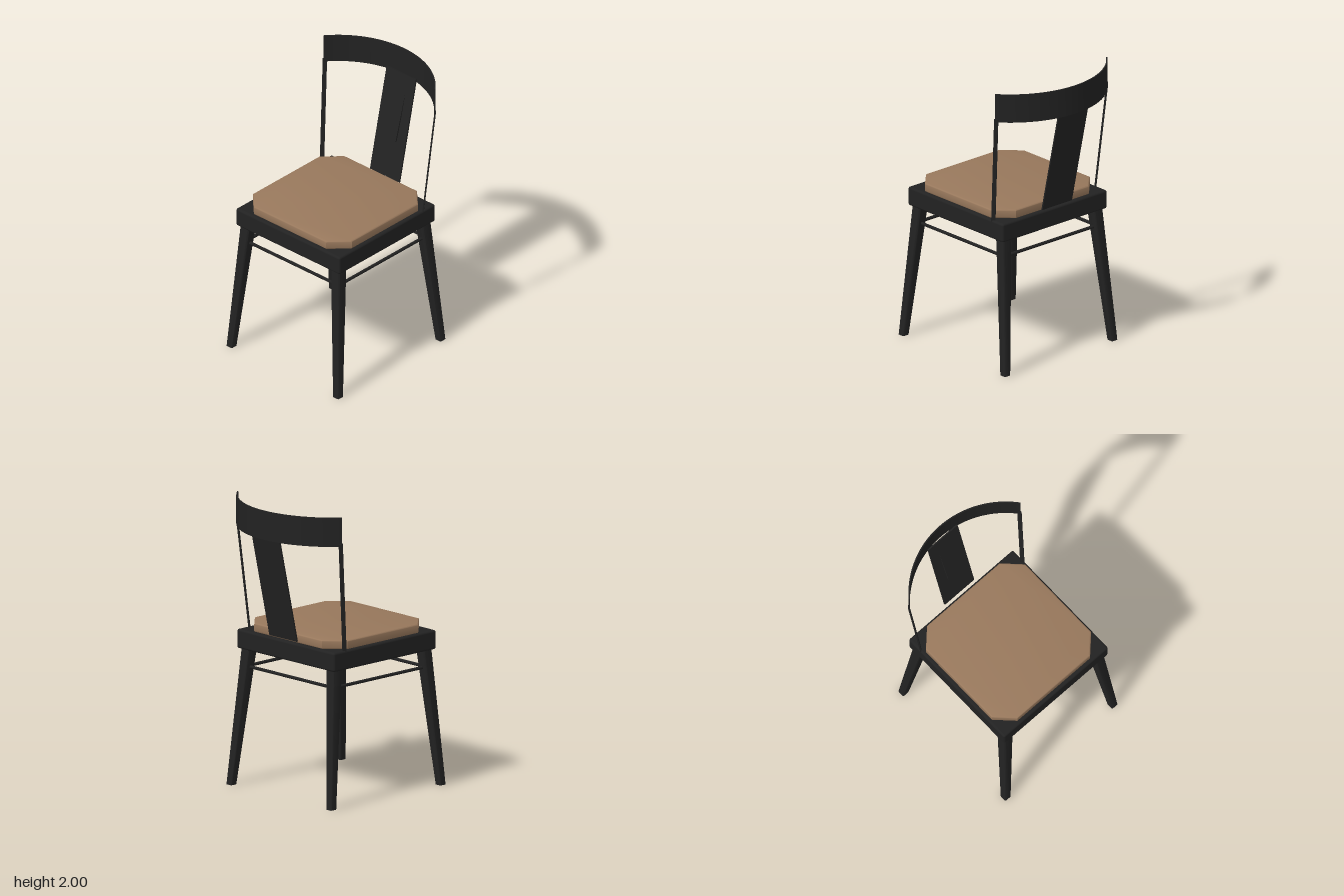
import * as THREE from 'three';
import { toCreasedNormals } from 'three/addons/utils/BufferGeometryUtils.js';
import { RoundedBoxGeometry } from 'three/addons/geometries/RoundedBoxGeometry.js';

const V = (x, y, z) => new THREE.Vector3(x, y, z);
const UP = V(0, 1, 0);

export function createModel() {
  const black = new THREE.MeshStandardMaterial({ color: 0x222222 });
  black.name = 'black frame';
  const tan = new THREE.MeshStandardMaterial({ color: 0x98785c });
  tan.name = 'tan cushion';
  const chair = new THREE.Group();
  chair.name = 'chair';

  function add(name, geometry, material = black) {
    const mesh = new THREE.Mesh(geometry, material);
    mesh.name = name;
    chair.add(mesh);
    return mesh;
  }

  // Straight part whose geometry runs along y, placed between two points
  function between(name, a, b, makeGeometry) {
    const mesh = add(name, makeGeometry(a.distanceTo(b)));
    mesh.position.copy(a).add(b).multiplyScalar(0.5);
    mesh.quaternion.setFromUnitVectors(UP, b.clone().sub(a).normalize());
    return mesh;
  }

  // Seat frame
  add('seatFrame', new RoundedBoxGeometry(0.945, 0.132, 0.945, 3, 0.015)).position.set(0, 1, 0.077);

  // Cushion with cut corners and a small bevel
  const bevel = 0.01, hx = 0.45 - bevel, hz = 0.447 - bevel, cut = 0.115;
  const outline = new THREE.Shape([
    [hx, -hz + cut], [hx, hz - cut], [hx - cut, hz], [-hx + cut, hz],
    [-hx, hz - cut], [-hx, -hz + cut], [-hx + cut, -hz], [hx - cut, -hz],
  ].map(([x, y]) => new THREE.Vector2(x, y)));
  const cushion = new THREE.ExtrudeGeometry(outline, {
    depth: 0.042, bevelSize: bevel, bevelThickness: bevel, bevelSegments: 3,
  });
  cushion.rotateX(-Math.PI / 2).translate(0, 1.075, 0.078);
  add('cushion', toCreasedNormals(cushion, 0.6), tan);

  // Splayed, tapered legs with a rounded square section
  const legTop = 0.95;
  const square = new THREE.Shape();
  const r = 0.35;
  [[1, 1, 0], [-1, 1, 1], [-1, -1, 2], [1, -1, 3]].forEach(([sx, sy, q]) =>
    square.absarc(sx * (1 - r), sy * (1 - r), r, q * Math.PI / 2, (q + 1) * Math.PI / 2, false));
  function legGeometry(foot, top) {
    const g = new THREE.ExtrudeGeometry(square, { depth: legTop, bevelEnabled: false, curveSegments: 4 });
    g.rotateX(-Math.PI / 2);
    const p = g.attributes.position;
    for (let i = 0; i < p.count; i++) {
      const t = p.getY(i) / legTop, half = THREE.MathUtils.lerp(0.026, 0.04, t);
      p.setX(i, p.getX(i) * half + THREE.MathUtils.lerp(foot.x, top.x, t));
      p.setZ(i, p.getZ(i) * half + THREE.MathUtils.lerp(foot.z, top.z, t));
    }
    return toCreasedNormals(g, 0.7);
  }
  for (const s of [-1, 1]) {
    const side = s > 0 ? 'Left' : 'Right';
    add('frontLeg' + side, legGeometry(V(s * 0.484, 0, 0.577), V(s * 0.41, 0, 0.49)));
    add('backLeg' + side, legGeometry(V(s * 0.484, 0, -0.432), V(s * 0.41, 0, -0.335)));
  }

  // Thin stretchers between the legs
  const rod = (length) => new THREE.CylinderGeometry(0.011, 0.011, length, 12);
  const y = 0.812, sx = 0.42, zf = 0.502, zb = -0.349;
  between('frontStretcher', V(-sx, y, zf), V(sx, y, zf), rod);
  between('backStretcher', V(-sx, y, zb), V(sx, y, zb), rod);
  between('leftStretcher', V(sx, y, zb), V(sx, y, zf), rod);
  between('rightStretcher', V(-sx, y, zb), V(-sx, y, zf), rod);

  // Flat back posts, turned to follow the ends of the curved rail
  for (const s of [-1, 1]) {
    between(s > 0 ? 'leftPost' : 'rightPost', V(s * 0.46, 1.05, -0.287), V(s * 0.502, 1.82, -0.362),
      (length) => new THREE.BoxGeometry(0.01, length, 0.028).rotateY(s * 0.64));
  }

  // Curved top rail
  const radius = 0.651, half = Math.asin(0.508 / radius), mid = Math.PI / 2;
  const arc = new THREE.Shape();
  arc.absarc(0, 0, radius, mid - half, mid + half, false);
  arc.absarc(0, 0, radius - 0.009, mid + half, mid - half, true);
  const rail = new THREE.ExtrudeGeometry(arc, { depth: 0.2, bevelEnabled: false, curveSegments: 32 });
  rail.rotateX(-Math.PI / 2).translate(0, 1.8, 0.051);
  add('topRail', toCreasedNormals(rail, 0.6));

  // Leaning back splat with a small flap standing off its front
  between('backSplat', V(0, 1.09, -0.411), V(0, 1.82, -0.575),
    (length) => new THREE.BoxGeometry(0.266, length, 0.011));
  between('splatFlap', V(0, 1.36, -0.452), V(0, 1.7, -0.547),
    (length) => new THREE.BoxGeometry(0.124, length, 0.009));

  return chair;
}
